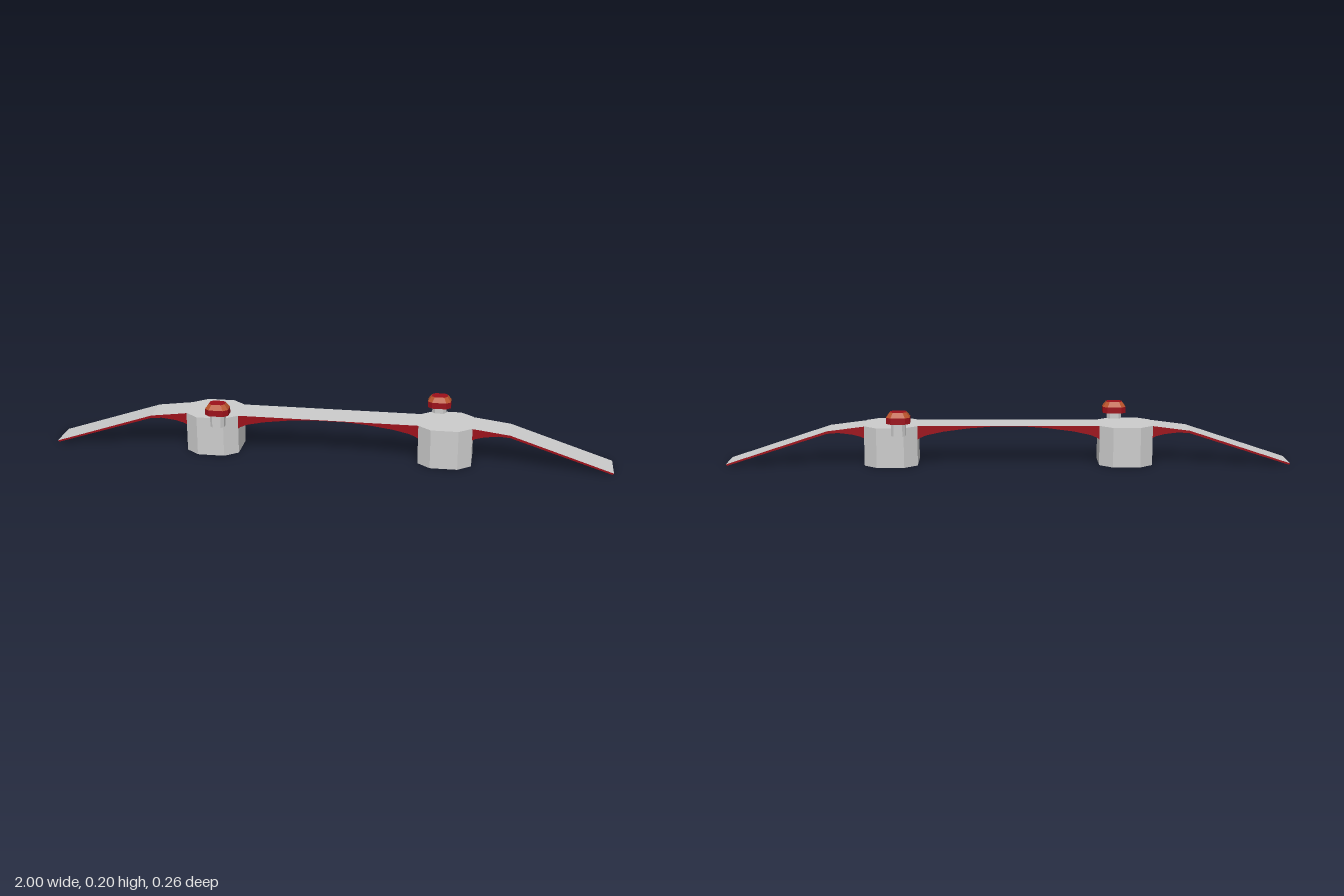
import * as THREE from 'three';

const grey = new THREE.MeshStandardMaterial({ color: 0xcccccc, flatShading: true });
const red = new THREE.MeshStandardMaterial({ color: 0x9c101a, flatShading: true });
const orange = new THREE.MeshStandardMaterial({ color: 0xb8522a, flatShading: true });

// Outline of a rectangle with cut corners; ix, iz are the half lengths of its flats
function octagon(hx, hz, ix, iz) {
  return new THREE.Shape([
    [hx, -iz], [hx, iz], [ix, hz], [-ix, hz], [-hx, iz], [-hx, -iz], [-ix, -hz], [ix, -hz],
  ].map(([x, z]) => new THREE.Vector2(x, z)));
}

// Upright octagonal prism from y0 to y1, its top narrowed by a factor
function prism(name, [hx, hz, ix, iz], y0, y1, materials, taper = 1) {
  const geometry = new THREE.ExtrudeGeometry(octagon(hx, hz, ix, iz), { depth: y1 - y0, bevelEnabled: false });
  geometry.rotateX(-Math.PI / 2).translate(0, y0, 0);
  const p = geometry.attributes.position;
  for (let i = 0; i < p.count; i++) {
    if (p.getY(i) > (y0 + y1) / 2) p.setXYZ(i, p.getX(i) * taper, y1, p.getZ(i) * taper);
  }
  geometry.computeVertexNormals();
  const mesh = new THREE.Mesh(geometry, materials);
  mesh.name = name;
  return mesh;
}

// Deck: side profile with arched underside, red flanks and grey top and bottom
function createDeck() {
  const top = [[0.5, 0.142], [0.64, 0.124], [1, 0.005]];
  const under = [
    [0.995, 0], [0.64, 0.115], [0.6, 0.118], [0.55, 0.112], [0.52, 0.104], [0.5, 0.094],
    [0.33, 0.085], [0.315, 0.098], [0.29, 0.109], [0.23, 0.122], [0.14, 0.134], [0.06, 0.14],
  ];
  const half = [...top, ...under];
  const mirrored = half.map(([x, y]) => [-x, y]).reverse();
  const shape = new THREE.Shape([...half, ...mirrored].map(([x, y]) => new THREE.Vector2(x, y)));
  const geometry = new THREE.ExtrudeGeometry(shape, { depth: 0.114, bevelEnabled: false });
  geometry.translate(0, 0, -0.057);
  const deck = new THREE.Mesh(geometry, [red, grey]);
  deck.name = 'deck';
  return deck;
}

// Lantern: grey post, red cap and tapered orange roof with a red top
function createLantern() {
  const lantern = new THREE.Group();
  lantern.name = 'lantern';
  const cap = [0.041, 0.032, 0.025, 0.018];
  lantern.add(
    prism('lanternPost', [0.025, 0.026, 0.015, 0.014], 0.118, 0.162, grey),
    prism('lanternCap', cap, 0.162, 0.184, red),
    prism('lanternRoof', cap, 0.184, 0.202, [red, orange], 0.68),
  );
  return lantern;
}

export function createModel() {
  const bridge = new THREE.Group();
  bridge.name = 'bridge';
  bridge.add(createDeck());
  for (const side of [-1, 1]) {
    const pillar = prism('pillar', [0.094, 0.094, 0.048, 0.057], 0, 0.142, grey);
    pillar.position.x = side * 0.415;
    // Lanterns stand on opposite edges of the deck
    const lantern = createLantern();
    lantern.position.set(side * 0.384, 0, side * -0.096);
    bridge.add(pillar, lantern);
  }
  return bridge;
}
